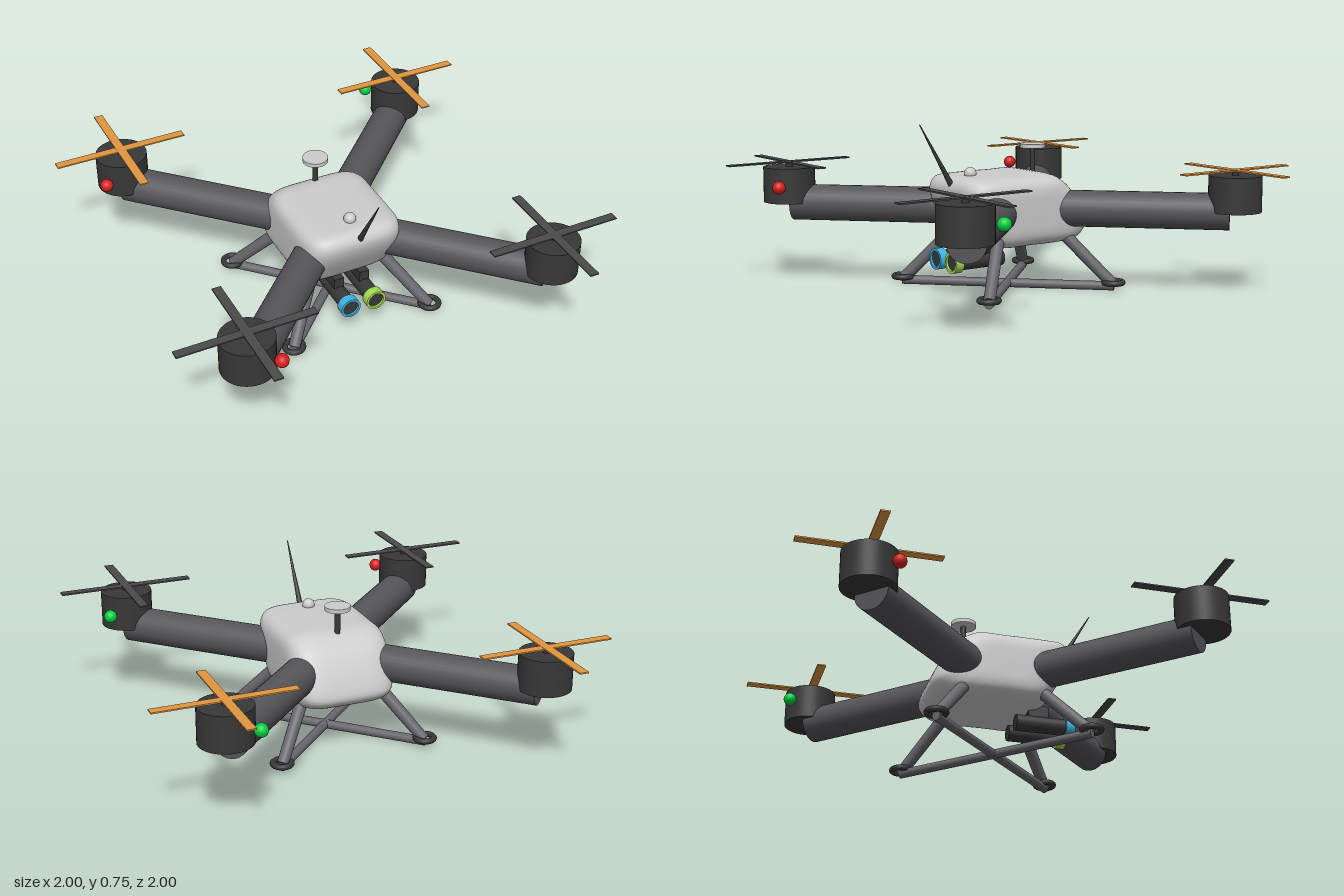
import * as THREE from 'three';

const material = (color) => new THREE.MeshStandardMaterial({ color });
const grey = material(0xcccccc);
const armGrey = material(0x55555a);
const legGrey = material(0x66666c);
const black = material(0x383838);
const bladeDark = material(0x4a4a4a);
const orange = material(0xe0963f);
const red = material(0xd81f1f);
const green = material(0x00d040);
const blue = material(0x3fb4e6);
const lime = material(0xa5dc55);

function add(parent, name, geometry, mat, x = 0, y = 0, z = 0) {
  const mesh = new THREE.Mesh(geometry, mat);
  mesh.name = name;
  mesh.position.set(x, y, z);
  parent.add(mesh);
  return mesh;
}

// Round bar between two points, optionally tapered
function rod(parent, name, from, to, r0, mat, r1 = r0) {
  const a = new THREE.Vector3(...from);
  const d = new THREE.Vector3(...to).sub(a);
  const mesh = add(parent, name, new THREE.CylinderGeometry(r1, r0, d.length(), 28), mat);
  mesh.position.copy(a).addScaledVector(d, 0.5);
  mesh.quaternion.setFromUnitVectors(new THREE.Vector3(0, 1, 0), d.normalize());
  return mesh;
}

// Side profile swept across x, shrinking towards both flanks as a superellipse
function bodyGeometry() {
  const profile = [
    [0.28, 0.506], [0.2, 0.514], [0, 0.515], [-0.13, 0.512], [-0.19, 0.48], [-0.235, 0.435],
    [-0.3, 0.31], [-0.307, 0.26], [-0.26, 0.218], [-0.18, 0.206], [0, 0.205], [0.14, 0.207],
    [0.19, 0.228], [0.235, 0.29], [0.3, 0.41], [0.308, 0.47],
  ].map(([z, y]) => new THREE.Vector3(0, y, z));
  const curve = new THREE.CatmullRomCurve3(profile, true, 'centripetal');
  const across = 32, around = 72, cy = 0.36;
  const positions = [], index = [];
  for (let i = 0; i <= across; i++) {
    const t = (i / across - 0.5) * Math.PI;
    const x = 0.23 * Math.sign(t) * Math.abs(Math.sin(t)) ** 0.4;
    const s = Math.abs(Math.cos(t)) ** 0.4;
    for (let j = 0; j < around; j++) {
      const p = curve.getPoint(j / around);
      positions.push(x, cy + (p.y - cy) * s, p.z * s);
      if (i === across) continue;
      const a = i * around + j, d = i * around + (j + 1) % around;
      index.push(a, a + around, d + around, a, d + around, d);
    }
  }
  const geometry = new THREE.BufferGeometry();
  geometry.setAttribute('position', new THREE.Float32BufferAttribute(positions, 3));
  geometry.setIndex(index);
  geometry.computeVertexNormals();
  return geometry;
}

// Arm, motor, crossed propeller, leg and foot for one corner
function corner(sx, sz) {
  const g = new THREE.Group();
  g.name = (sz > 0 ? 'front' : 'rear') + (sx > 0 ? 'Left' : 'Right') + 'Corner';
  const x = 0.7 * sx, z = 0.7 * sz;
  rod(g, 'arm', [0.1 * sx, 0.36, 0.1 * sz], [0.685 * sx, 0.36, 0.685 * sz], 0.08, armGrey);
  add(g, 'motor', new THREE.CylinderGeometry(0.115, 0.115, 0.157, 40), black, x, 0.441, z);
  add(g, 'propellerShaft', new THREE.CylinderGeometry(0.015, 0.015, 0.025, 16), black, x, 0.53, z);
  const bladeMat = sz > 0 ? bladeDark : orange;
  add(g, 'bladeAcross', new THREE.BoxGeometry(0.6, 0.006, 0.04), bladeMat, x, 0.54, z);
  add(g, 'bladeAlong', new THREE.BoxGeometry(0.04, 0.006, 0.6), bladeMat, x, 0.541, z);
  rod(g, 'leg', [0.16 * sx, 0.27, 0.16 * sz], [0.33 * sx, 0.03, 0.33 * sz], 0.028, legGrey, 0.025);
  const foot = add(g, 'foot', new THREE.TorusGeometry(0.04, 0.013, 12, 32), black,
    0.333 * sx, 0.036, 0.333 * sz);
  foot.rotation.x = Math.PI / 2;
  return g;
}

// Camera barrel with a coloured ring, hung from a short mount
function cameraUnit(name, x, ringMat) {
  const g = new THREE.Group();
  g.name = name;
  rod(g, 'barrel', [0, 0, 0.08], [0, 0, 0.33], 0.036, black);
  const ring = new THREE.Shape().absarc(0, 0, 0.046, 0, Math.PI * 2);
  ring.holes.push(new THREE.Path().absarc(0, 0, 0.035, 0, Math.PI * 2, true));
  const ringGeometry = new THREE.ExtrudeGeometry(ring, {
    depth: 0.04, bevelEnabled: false, curveSegments: 20,
  });
  add(g, 'lensRing', ringGeometry, ringMat, 0, 0, 0.3);
  add(g, 'mount', new THREE.BoxGeometry(0.045, 0.06, 0.09), black, 0, 0.05, 0.18);
  g.position.set(x, 0.153, 0);
  return g;
}

export function createModel() {
  const model = new THREE.Group();
  model.name = 'quadcopter';
  add(model, 'body', bodyGeometry(), grey);

  for (const sx of [-1, 1]) {
    for (const sz of [-1, 1]) model.add(corner(sx, sz));
    // Crossed landing skids
    rod(model, 'skid', [-0.335 * sx, 0.02, -0.335], [0.335 * sx, 0.02, 0.335], 0.02, legGrey);
  }

  // Navigation lights
  const lights = [[-0.81, -0.6, red], [-0.6, 0.805, red], [0.595, -0.81, green], [0.805, 0.595, green]];
  for (const [x, z, mat] of lights) {
    add(model, 'navigationLight', new THREE.SphereGeometry(0.029, 24, 16), mat, x, 0.44, z);
  }

  model.add(cameraUnit('rightCamera', -0.062, blue), cameraUnit('leftCamera', 0.06, lime));

  // Top fittings
  rod(model, 'antenna', [0, 0.47, 0.29], [0, 0.745, 0.453], 0.013, black, 0.002);
  add(model, 'topSensor', new THREE.SphereGeometry(0.027, 24, 16), grey, 0, 0.522, 0.197);
  rod(model, 'beaconPost', [0, 0.49, -0.138], [0, 0.615, -0.138], 0.012, black);
  add(model, 'beaconDisc', new THREE.CylinderGeometry(0.056, 0.056, 0.018, 36), grey, 0, 0.622, -0.138);
  return model;
}
